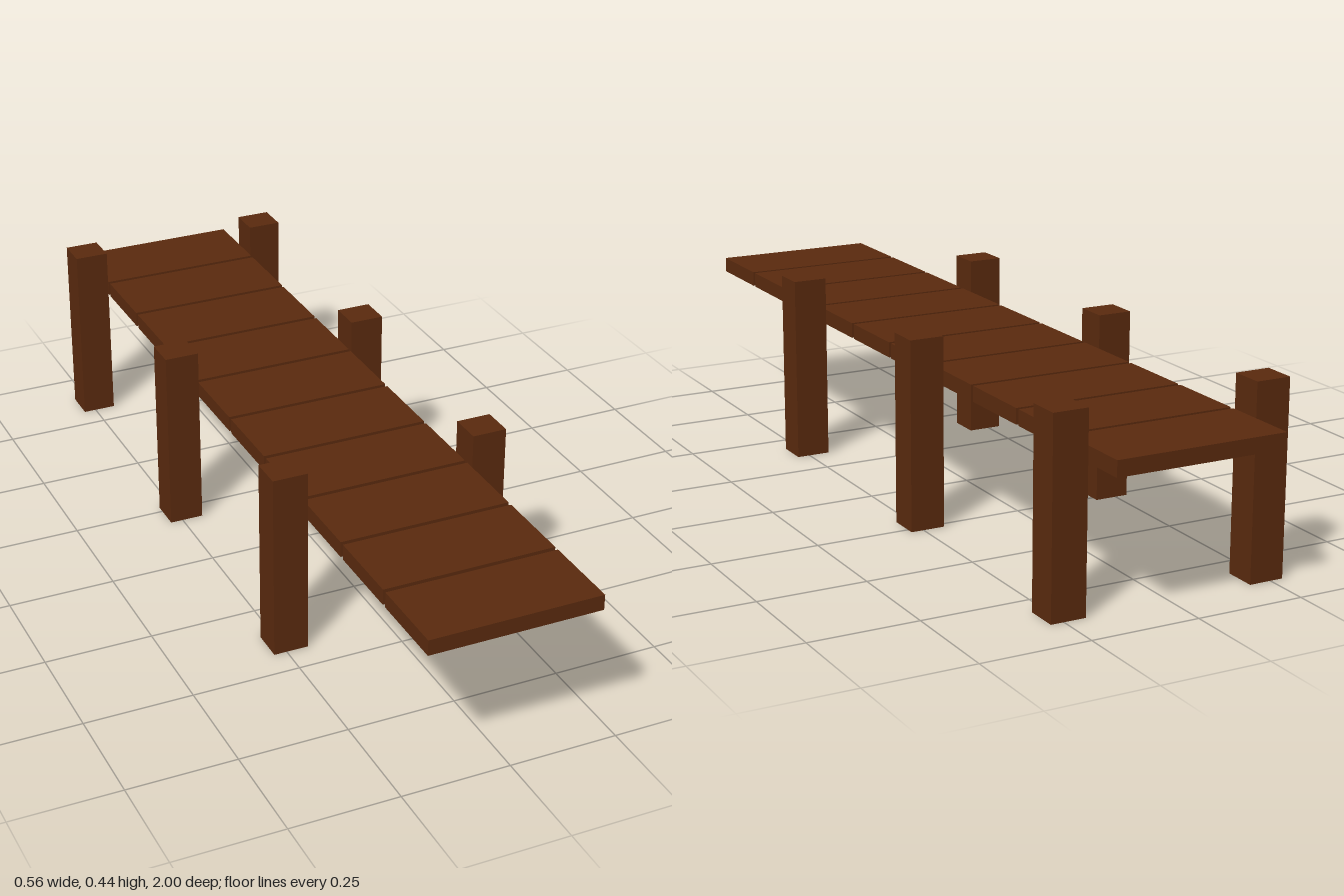
import * as THREE from 'three';

export function createModel() {
  const group = new THREE.Group();
  group.name = 'dock';
  const wood = new THREE.MeshStandardMaterial({ color: 0x5a2a0e, flatShading: true });

  const addBox = (name, size, position) => {
    const mesh = new THREE.Mesh(new THREE.BoxGeometry(...size), wood);
    mesh.name = name;
    mesh.position.set(...position);
    group.add(mesh);
  };

  // Deck: ten wide planks with narrow open gaps
  const count = 10, gap = 0.011;
  const length = (2 - gap * (count - 1)) / count;
  for (let i = 0; i < count; i++) {
    addBox(`plank${i + 1}`, [0.398, 0.036, length], [0, 0.345, -1 + length / 2 + i * (length + gap)]);
  }

  // Three pairs of square posts flanking the deck
  [-0.853, -0.23, 0.393].forEach((z, i) => {
    for (const side of [-1, 1]) {
      addBox(`${side > 0 ? 'left' : 'right'}Post${i + 1}`, [0.081, 0.441, 0.077], [side * 0.2395, 0.2205, z]);
    }
  });

  return group;
}
